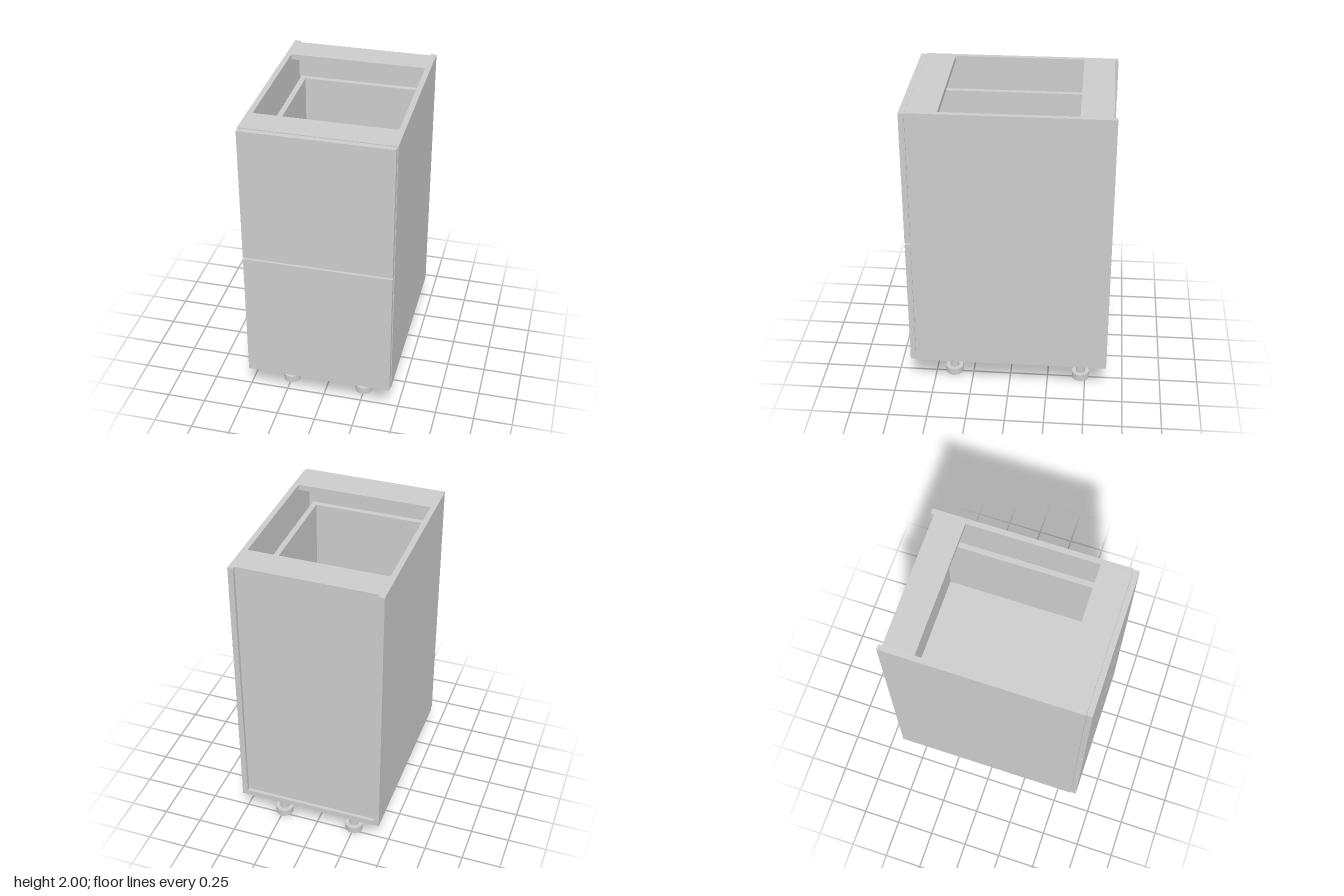
import * as THREE from 'three';

export function createModel() {
  const group = new THREE.Group();
  const grey = new THREE.MeshStandardMaterial({ color: 0xcccccc });

  const add = (name, geometry, x, y, z, parent = group) => {
    const mesh = new THREE.Mesh(geometry, grey);
    mesh.name = name;
    mesh.position.set(x, y, z);
    parent.add(mesh);
    return mesh;
  };
  // Box given by its lower and upper limits on each axis
  const slab = (name, x0, x1, y0, y1, z0, z1, parent) =>
    add(name, new THREE.BoxGeometry(x1 - x0, y1 - y0, z1 - z0),
      (x0 + x1) / 2, (y0 + y1) / 2, (z0 + z1) / 2, parent);

  const W = 0.47, T = 0.035, IN = W - T;
  const BASE = 0.24, TOP = 2, BACK = -0.637, FRONT = 0.6;

  // Carcass: sides, floor, recessed back and two top rails
  slab('rightSide', -W, -IN, BASE, TOP, BACK, FRONT);
  slab('leftSide', IN, W, BASE, TOP, BACK, FRONT);
  slab('floorPanel', -IN, IN, BASE, BASE + T, BACK, FRONT);
  slab('backPanel', -IN, IN, BASE + T, TOP - T, -0.615, -0.603);
  slab('rearRail', -IN, IN, TOP - T, TOP, -0.615, -0.42);
  slab('frontRail', -IN, IN, TOP - T, TOP, 0.41, FRONT);

  // Two drawers: front panel with an open box behind it
  const drawers = [
    { name: 'lowerDrawer', y0: 0.245, y1: 1.11, floor: 0.33, rim: 0.9 },
    { name: 'upperDrawer', y0: 1.122, y1: 1.996, floor: 1.2, rim: 1.785 },
  ];
  for (const { name, y0, y1, floor, rim } of drawers) {
    const drawer = new THREE.Group();
    drawer.name = name;
    group.add(drawer);
    const out = 0.41, inner = 0.375, zb = -0.565, zf = 0.599;
    slab('drawerFront', -0.466, 0.466, y0, y1, 0.602, 0.637, drawer);
    slab('drawerRightWall', -out, -inner, floor, rim, zb, zf, drawer);
    slab('drawerLeftWall', inner, out, floor, rim, zb, zf, drawer);
    slab('drawerBackWall', -inner, inner, floor, rim, zb, zb + T, drawer);
    slab('drawerInnerFront', -inner, inner, floor, rim, zf - T, zf, drawer);
    slab('drawerFloor', -inner, inner, floor, floor + 0.03, zb + T, zf - T, drawer);
  }

  // Adjustable legs: foot, stem and mounting plate
  for (const x of [-0.25, 0.245]) {
    for (const z of [-0.47, 0.38]) {
      const leg = new THREE.Group();
      leg.name = 'leg';
      leg.position.set(x, 0, z);
      group.add(leg);
      add('foot', new THREE.CylinderGeometry(0.057, 0.057, 0.047, 32), 0, 0.0235, 0, leg);
      add('stem', new THREE.CylinderGeometry(0.03, 0.03, 0.15, 32), 0, 0.12, 0, leg);
      add('legPlate', new THREE.CylinderGeometry(0.057, 0.057, 0.045, 32), 0, 0.2175, 0, leg);
    }
  }

  // Small pins near the back corners
  for (const s of [-1, 1]) {
    add('topPin', new THREE.CylinderGeometry(0.005, 0.005, 0.03, 12), s * 0.453, TOP - 0.0145, -0.61);
    add('sidePin', new THREE.CylinderGeometry(0.007, 0.007, 0.03, 12), s * (W - 0.0145), 0.27, -0.61)
      .rotation.z = Math.PI / 2;
  }
  return group;
}
